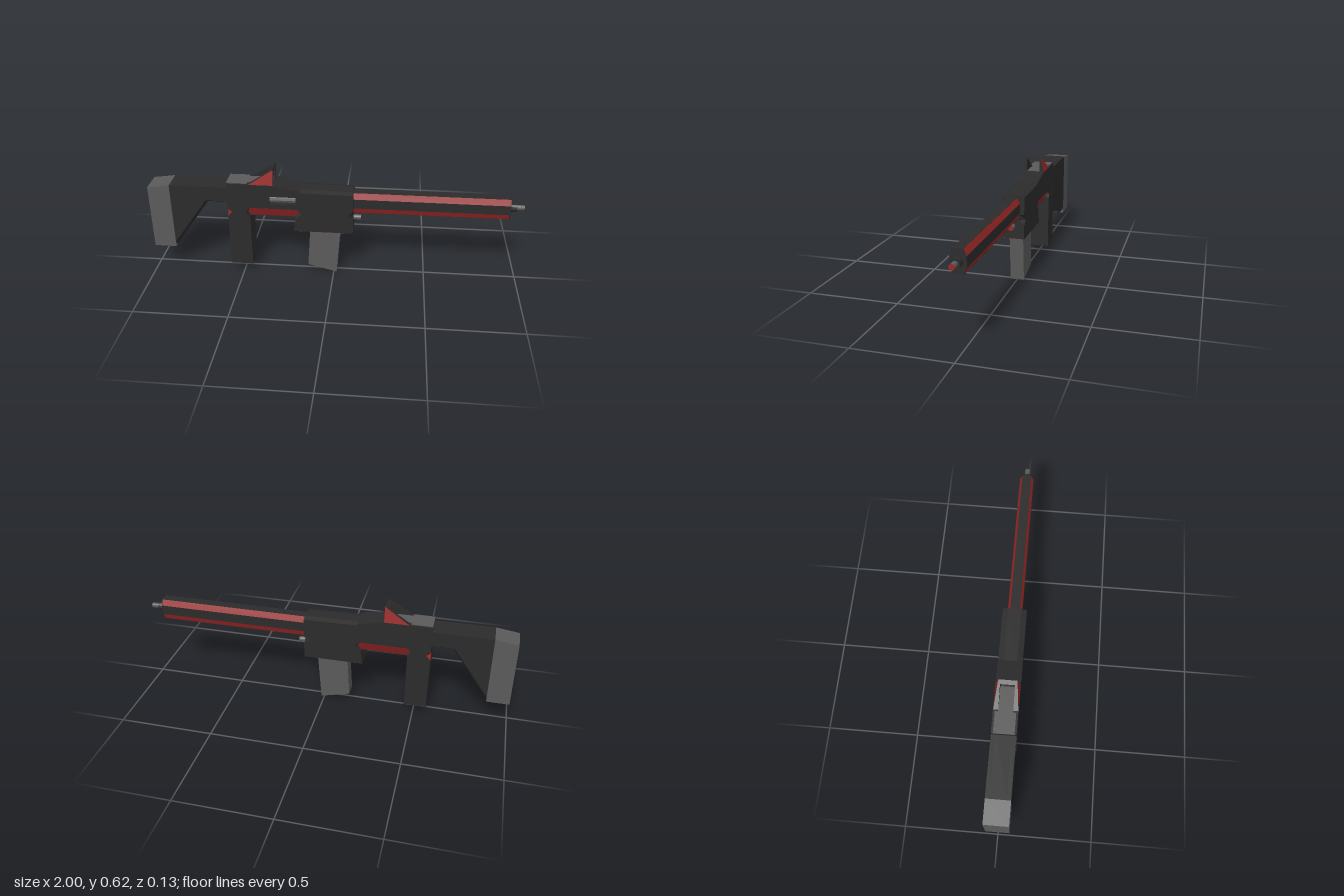
import * as THREE from 'three';

const dark = new THREE.MeshStandardMaterial({ color: 0x2b2b2b, flatShading: true });
const grey = new THREE.MeshStandardMaterial({ color: 0x5a5a5a, flatShading: true });
const red = new THREE.MeshStandardMaterial({ color: 0x982626, flatShading: true });

// Skins a stack of counter-clockwise x/y outlines [z, points], ordered by rising z
function loft(rings) {
  const pos = [];
  const put = (ring, i) => pos.push(ring[1][i][0], ring[1][i][1], ring[0]);
  const n = rings[0][1].length;
  for (let r = 0; r < rings.length - 1; r++) {
    const lo = rings[r], hi = rings[r + 1];
    for (let i = 0; i < n; i++) {
      const j = (i + 1) % n;
      put(lo, i); put(lo, j); put(hi, j);
      put(lo, i); put(hi, j); put(hi, i);
    }
  }
  for (const [ring, back] of [[rings[0], true], [rings[rings.length - 1], false]]) {
    const outline = ring[1].map(([x, y]) => new THREE.Vector2(x, y));
    for (const [a, b, c] of THREE.ShapeUtils.triangulateShape(outline, [])) {
      for (const i of back ? [a, c, b] : [a, b, c]) put(ring, i);
    }
  }
  const geo = new THREE.BufferGeometry();
  geo.setAttribute('position', new THREE.Float32BufferAttribute(pos, 3));
  geo.computeVertexNormals();
  return geo;
}

// Mirrored body: middle outline within +-zMid, side outline at +-zSide
const bevelled = (mid, side, zMid, zSide) =>
  loft([[-zSide, side], [-zMid, mid], [zMid, mid], [zSide, side]]);
const prism = (pts, z) => loft([[-z, pts], [z, pts]]);

export function createModel() {
  const model = new THREE.Group();
  const W = 0.063;
  const add = (name, geo, mat, x = 0, y = 0, z = 0) => {
    const mesh = new THREE.Mesh(geo, mat);
    mesh.name = name;
    mesh.position.set(x, y, z);
    model.add(mesh);
    return mesh;
  };
  const rod = (name, x0, x1, y, z, r, mat, sides = 12) =>
    add(name, new THREE.CylinderGeometry(r, r, x1 - x0, sides).rotateZ(-Math.PI / 2), mat, (x0 + x1) / 2, y, z);

  // Butt pad and stock with chamfered underside
  add('buttPad', prism([[-1, 0.135], [-0.88, 0.135], [-0.88, 0.515], [-1, 0.498]], W), grey);
  add('stock', bevelled(
    [[-0.88, 0.137], [-0.68, 0.42], [-0.56, 0.42], [-0.56, 0.515], [-0.88, 0.515]],
    [[-0.88, 0.165], [-0.688, 0.434], [-0.56, 0.434], [-0.56, 0.515], [-0.88, 0.515]], 0.042, W), dark);

  // Rear receiver, with the ejection slot cut into its left skin
  const rear = [[-0.57, 0.4], [-0.18, 0.4], [-0.18, 0.51], [-0.32, 0.538], [-0.57, 0.538]];
  add('rearReceiver', loft([[-W, rear], [0.03, rear]]), dark);
  const slotted = [[-0.57, 0.4], [-0.18, 0.4], [-0.18, 0.428], [-0.34, 0.428], [-0.34, 0.472],
    [-0.18, 0.472], [-0.18, 0.51], [-0.32, 0.538], [-0.57, 0.538]];
  add('ejectionSlotSkin', loft([[0.03, slotted], [W, slotted]]), dark);
  rod('bolt', -0.34, -0.19, 0.45, 0.038, 0.021, grey, 10);
  add('topPlateRear', new THREE.BoxGeometry(0.11, 0.006, 0.106), grey, -0.515, 0.539, 0);
  add('topPlateFront', new THREE.BoxGeometry(0.13, 0.006, 0.074), grey, -0.395, 0.539, 0);

  // Sloping red flanks under the receiver, closed by a dark belly
  add('lowerFlanks', bevelled(
    [[-0.46, 0.346], [-0.18, 0.346], [-0.18, 0.402], [-0.46, 0.402]],
    [[-0.46, 0.399], [-0.18, 0.399], [-0.18, 0.402], [-0.46, 0.402]], 0.037, W - 0.001), red);
  add('belly', new THREE.BoxGeometry(0.27, 0.006, 0.074), dark, -0.325, 0.346, 0);

  // Grip with notched corners and red inserts in the rear notches
  const gripOutline = (cut) => [[-0.57, 0.045], [-0.45, 0.045], [-0.45, 0.345], [-0.45 - cut, 0.372],
    [-0.45, 0.402], [-0.57, 0.402], [-0.57 + cut, 0.372], [-0.57, 0.345]];
  add('grip', bevelled(gripOutline(0), gripOutline(0.022), 0.035, W), dark);
  for (const s of [1, -1]) {
    const corners = [[-0.57, 0.402, W], [-0.57, 0.345, W], [-0.547, 0.372, W], [-0.571, 0.372, 0.035]];
    const [a, b, c, d] = corners.map(([x, y, z]) => new THREE.Vector3(x - 0.001, y, s * (z + 0.001)));
    const tris = s > 0 ? [a, d, c, d, b, c] : [a, c, d, d, c, b];
    const geo = new THREE.BufferGeometry().setFromPoints(tris);
    geo.computeVertexNormals();
    add('gripInsert', geo, red).material = Object.assign(red.clone(), { side: THREE.DoubleSide });
  }

  // Front receiver and magazine well, notched at both ends
  const well = (cut, top) => [[-0.215, 0.27], [0.105, 0.27], [0.105, 0.345], [0.105 - cut, 0.373],
    [0.105, 0.405], [0.105, top], [-0.2, top + 0.004], [-0.2, 0.405], [-0.2 + cut, 0.373], [-0.203, 0.345]];
  add('frontReceiver', bevelled(well(0, 0.507), well(0.03, 0.498), 0.035, W), dark);
  add('wellUnderside', new THREE.BoxGeometry(0.314, 0.004, 0.122), red, -0.055, 0.27, 0);
  add('magazine', prism([[-0.143, 0.043], [0.016, 0.002], [0.036, 0.275], [-0.128, 0.275]], 0.038), grey);

  // Octagonal barrel shroud: red diagonal faces, dark flats and end cap
  const octagon = [[-0.025, 0.38], [0.025, 0.38], [0.038, 0.412], [0.038, 0.464],
    [0.025, 0.496], [-0.025, 0.496], [-0.038, 0.464], [-0.038, 0.412]];
  const along = (x0, x1) => loft([[x0, octagon], [x1, octagon]]).rotateY(Math.PI / 2);
  add('barrelShroud', along(0.08, 0.922), red);
  add('shroudEndCap', along(0.922, 0.926), dark);
  add('shroudTopFlat', new THREE.BoxGeometry(0.84, 0.118, 0.05), dark, 0.505, 0.438, 0);
  add('shroudSideFlat', new THREE.BoxGeometry(0.84, 0.052, 0.078), dark, 0.505, 0.438, 0);

  // Muzzle and lower rod, each with a red tip
  rod('muzzleCollar', 0.92, 0.96, 0.439, 0, 0.024, dark);
  rod('muzzle', 0.95, 0.998, 0.439, 0, 0.0145, grey);
  rod('muzzleTip', 0.998, 1, 0.439, 0, 0.0145, red);
  rod('lowerRod', 0.09, 0.144, 0.339, 0, 0.0145, grey);
  rod('lowerRodTip', 0.144, 0.146, 0.339, 0, 0.0145, red);

  // Sight: two tapering fins with red outer faces, joined by a top bar
  const fin = [[-0.455, 0.535], [-0.32, 0.535], [-0.32, 0.622]];
  for (const s of [1, -1]) {
    const inner = [s * 0.037, fin];
    const outer = [[-0.455, 0.535, W], [-0.32, 0.535, W], [-0.32, 0.622, 0.047]]
      .map(([x, y, z]) => new THREE.Vector3(x, y, s * z));
    const inside = inner[1].map(([x, y]) => new THREE.Vector3(x, y, inner[0]));
    const [a, b, c] = outer, [d, e, f] = inside;
    const shell = new THREE.BufferGeometry().setFromPoints(
      [d, e, f, b, e, f, b, f, c, a, c, f, a, f, d]);
    shell.computeVertexNormals();
    add('sightFin', shell, Object.assign(dark.clone(), { side: THREE.DoubleSide }));
    const panel = new THREE.BufferGeometry().setFromPoints(s > 0 ? [a, b, c] : [a, c, b]);
    panel.computeVertexNormals();
    add('sightPanel', panel, Object.assign(red.clone(), { side: THREE.DoubleSide }));
  }
  add('sightBar', prism([[-0.34, 0.609], [-0.32, 0.609], [-0.32, 0.622]], 0.047), dark);

  return model;
}
